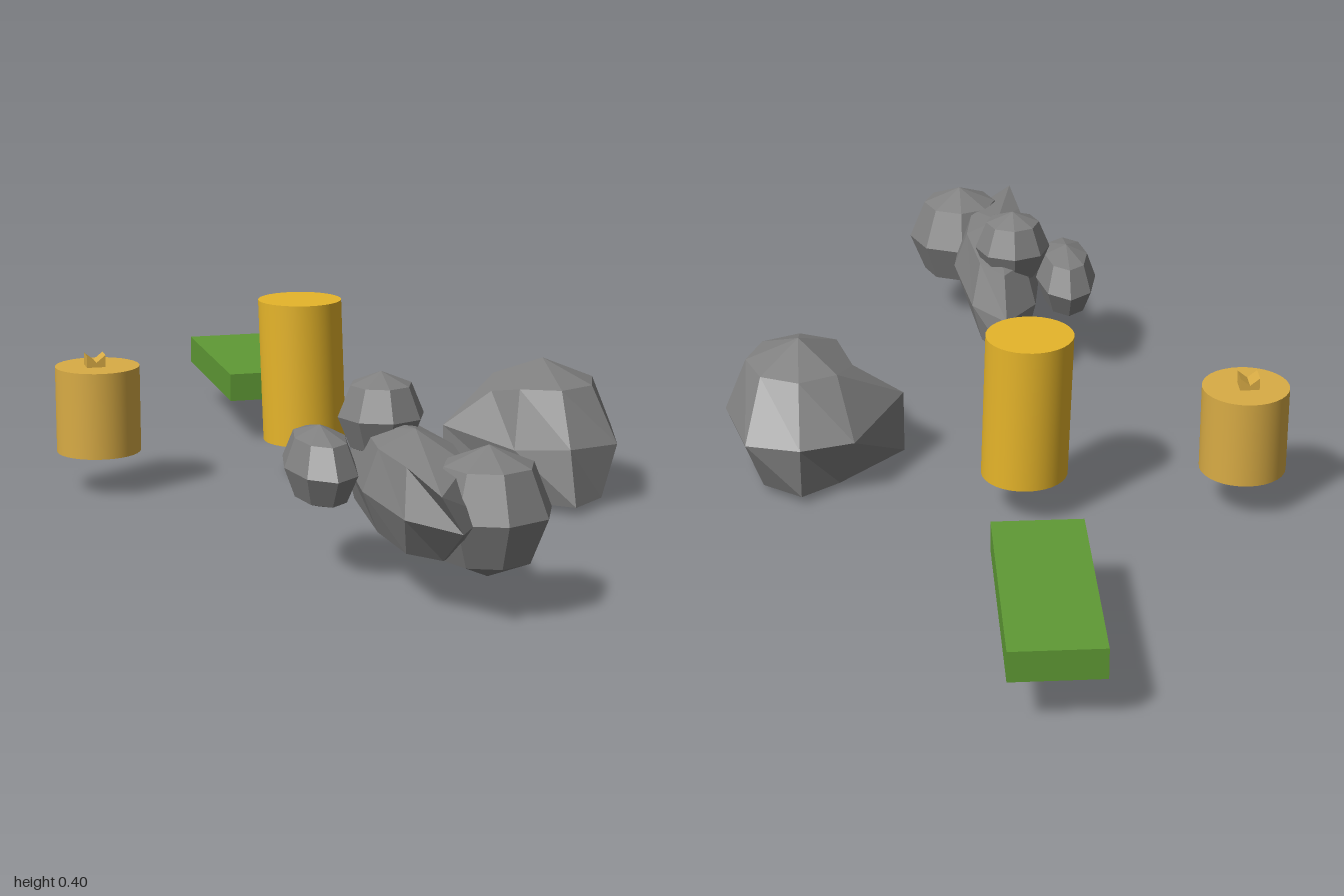
import * as THREE from 'three';

const paint = (color, flat = false) => new THREE.MeshStandardMaterial({ color, flatShading: flat });

// Faceted boulder: coarse sphere whose unit vertices are moved by a rule
function rock(name, centre, rule) {
  const geo = new THREE.SphereGeometry(1, 8, 4).toNonIndexed();
  const pos = geo.attributes.position;
  for (let i = 0; i < pos.count; i++) {
    const p = rule(pos.getX(i), pos.getY(i), pos.getZ(i));
    pos.setXYZ(i, p[0], p[1], p[2]);
  }
  geo.computeVertexNormals();
  const mesh = new THREE.Mesh(geo, paint(0x808080, true));
  mesh.name = name;
  mesh.position.set(...centre);
  return mesh;
}
const ellipsoid = (rx, ry, rz) => (x, y, z) => [x * rx, y * ry, z * rz];

// Large rock: drawn out to a wedge on one side, flattened and widened below
function largeRule(x, y, z) {
  const side = Math.abs(z) < 0.1 && x < -0.6;
  const diagonal = Math.abs(x) > 0.3 && Math.abs(z) > 0.3 ? 1.2 : 1;
  let px = x * 0.16, py = y * 0.16, pz;
  if (y > 0.1) pz = z * 0.177;
  else if (y > -0.1) pz = z * (z > 0 ? 0.185 : 0.215) * diagonal;
  else pz = z * (z > 0 ? 0.318 : 0.285);
  if (y < -0.9) py = -0.13;
  if (side) {
    if (y > 0.1) py -= 0.02;
    else px = -0.22;
    if (Math.abs(y) < 0.1) py = 0.025;
  }
  return [px, py, pz];
}

// Long rock: stretched along z, sloping at the back, blunt beak at the front
function longRule(x, y, z) {
  const px = x * 0.102, py = y * 0.113;
  const end = Math.abs(x) < 0.1;
  if (z > 0.1) {
    if (end && y > 0.1) return [-0.05, 0.07, 0.33];
    if (end && y > -0.1) return [-0.01, 0, 0.33];
    return [px - (x < 0 ? 0.01 : 0), py, z * 0.3];
  }
  if (z < -0.1) {
    const reach = y > 0.1 ? 0.36 : y > -0.1 ? 0.335 : 0.495;
    return [px, py, z * reach];
  }
  return [px, py, z];
}

function drum(name, radius, height, centre, color, lean = 0) {
  const geo = new THREE.CylinderGeometry(radius, radius, height, 32);
  const pos = geo.attributes.position;
  for (let i = 0; i < pos.count; i++) {
    if (pos.getY(i) < 0) pos.setX(i, pos.getX(i) + lean);
  }
  const mesh = new THREE.Mesh(geo, paint(color));
  mesh.name = name;
  mesh.position.set(...centre);
  return mesh;
}

export function createModel() {
  const model = new THREE.Group();
  model.name = 'rocksAndBlocks';

  // Rocks
  model.add(rock('largeRock', [0.42, 0.135, 0.06], largeRule));
  model.add(rock('longRock', [-0.04, 0.192, 0.67], longRule));
  model.add(rock('sideRock', [-0.19, 0.213, 0.54], ellipsoid(0.069, 0.08, 0.14)));
  model.add(rock('topRock', [-0.065, 0.3, 0.52], ellipsoid(0.085, 0.085, 0.088)));
  model.add(rock('frontRock', [0.04, 0.193, 0.86], ellipsoid(0.12, 0.122, 0.12)));

  // Drums
  model.add(drum('shortDrum', 0.09, 0.185, [-0.495, 0.1825, -0.19], 0xd9ac45));
  model.add(drum('tallDrum', 0.09, 0.31, [-0.052, 0.245, -0.183], 0xe6b52a, 0.01));

  // Notched stub on the short drum
  const stubGeo = new THREE.BoxGeometry(0.04, 0.04, 0.04, 2, 1, 1).toNonIndexed();
  const pos = stubGeo.attributes.position;
  for (let i = 0; i < pos.count; i++) {
    if (pos.getY(i) > 0 && Math.abs(pos.getX(i)) < 0.01) pos.setY(i, 0.004);
  }
  stubGeo.computeVertexNormals();
  const stub = new THREE.Mesh(stubGeo, paint(0xd9ac45, true));
  stub.name = 'drumStub';
  stub.position.set(-0.5, 0.281, -0.19);
  model.add(stub);

  // Green slab
  const slab = new THREE.Mesh(new THREE.BoxGeometry(0.182, 0.063, 0.47), paint(0x5f9a35));
  slab.name = 'greenSlab';
  slab.position.set(-0.042, 0.135, -0.765);
  model.add(slab);

  return model;
}
